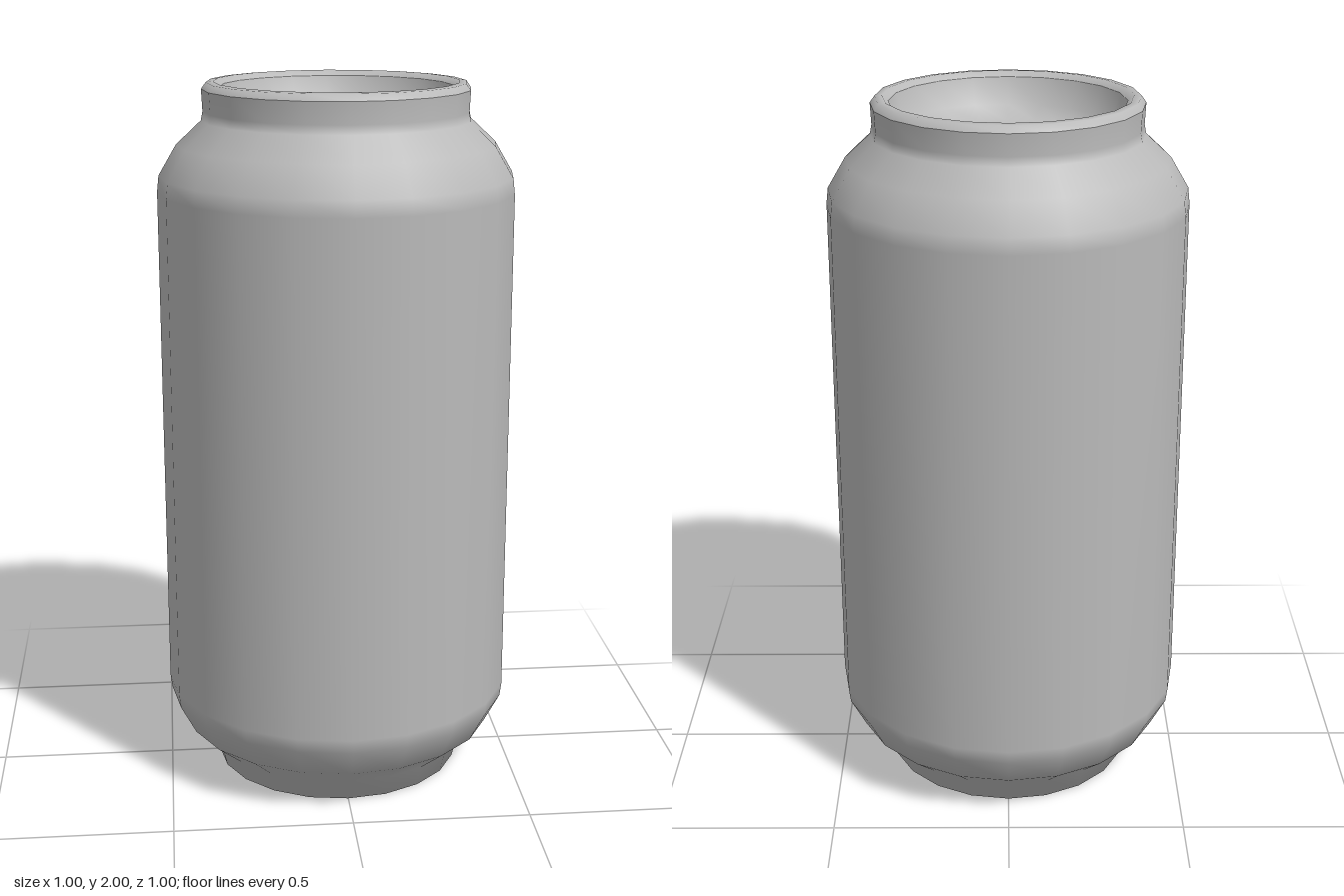
import * as THREE from 'three';

const SIDES = 20;

export function createModel() {
  const group = new THREE.Group();
  group.name = 'can';
  const metal = new THREE.MeshStandardMaterial({ color: 0xbababa });
  metal.name = 'grey metal';

  // Each part is a turned profile of [radius, height], running outward-bottom to inward-top
  const turn = (name, profile) => {
    const points = profile.map(([r, y]) => new THREE.Vector2(r, y));
    const mesh = new THREE.Mesh(new THREE.LatheGeometry(points, SIDES), metal);
    mesh.name = name;
    group.add(mesh);
  };

  // Hollow dome under the can, down to the standing ring
  turn('domedBase', [[0, 0.12], [0.15, 0.105], [0.26, 0.06], [0.325, 0.005]]);

  // Standing ring, lower taper, straight wall, shoulder and neck
  turn('body', [
    [0.325, 0.005], [0.355, 0], [0.37, 0.06], [0.45, 0.125], [0.495, 0.21], [0.5, 0.25],
    [0.5, 1.7], [0.495, 1.745], [0.445, 1.83], [0.375, 1.895], [0.37, 1.92], [0.373, 1.98],
  ]);

  // Rolled rim around the opening
  turn('rim', [[0.373, 1.98], [0.36, 1.998], [0.34, 2], [0.323, 1.985]]);

  // Recessed, gently dished lid
  turn('lid', [[0.323, 1.985], [0.3, 1.91], [0.25, 1.875], [0.14, 1.855], [0, 1.85]]);

  return group;
}
